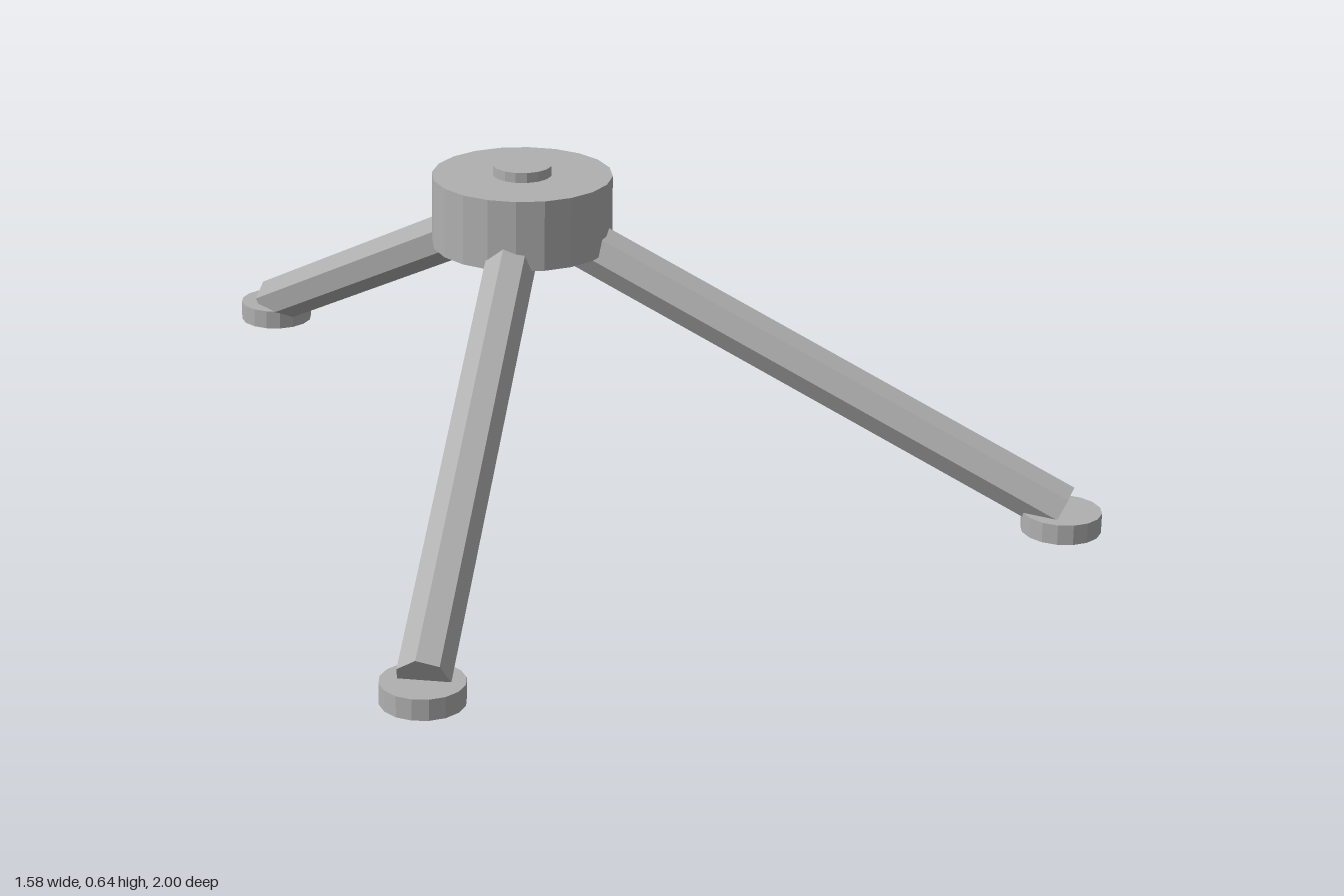
import * as THREE from 'three';

export function createModel() {
  const model = new THREE.Group();
  model.name = 'tripod';
  const grey = new THREE.MeshStandardMaterial({ color: 0xb0b0b0, flatShading: true });
  grey.name = 'grey';

  const add = (name, geometry, x, y, z) => {
    const mesh = new THREE.Mesh(geometry, grey);
    mesh.name = name;
    mesh.position.set(x, y, z);
    model.add(mesh);
    return mesh;
  };

  // Central hub with a small raised button
  const hub = new THREE.Vector3(0, 0.545, 0.107);
  add('hub', new THREE.CylinderGeometry(0.177, 0.177, 0.14, 20), hub.x, hub.y, hub.z);
  add('hubButton', new THREE.CylinderGeometry(0.058, 0.058, 0.03, 16), hub.x, 0.62, hub.z);

  // Three seven-sided legs running from disc feet into the hub
  const up = new THREE.Vector3(0, 1, 0);
  const feet = [['frontLeft', 0.713, 0.923], ['frontRight', -0.713, 0.923], ['back', 0, -0.923]];
  for (const [side, x, z] of feet) {
    add(side + 'Foot', new THREE.CylinderGeometry(0.077, 0.077, 0.04, 16), x, 0.02, z);
    const start = new THREE.Vector3(x, 0.041, z);
    const span = hub.clone().sub(start);
    const mid = start.clone().add(hub).multiplyScalar(0.5);
    const leg = add(side + 'Leg', new THREE.CylinderGeometry(0.05, 0.05, span.length(), 7), mid.x, mid.y, mid.z);
    leg.quaternion.setFromUnitVectors(up, span.normalize());
  }
  return model;
}
